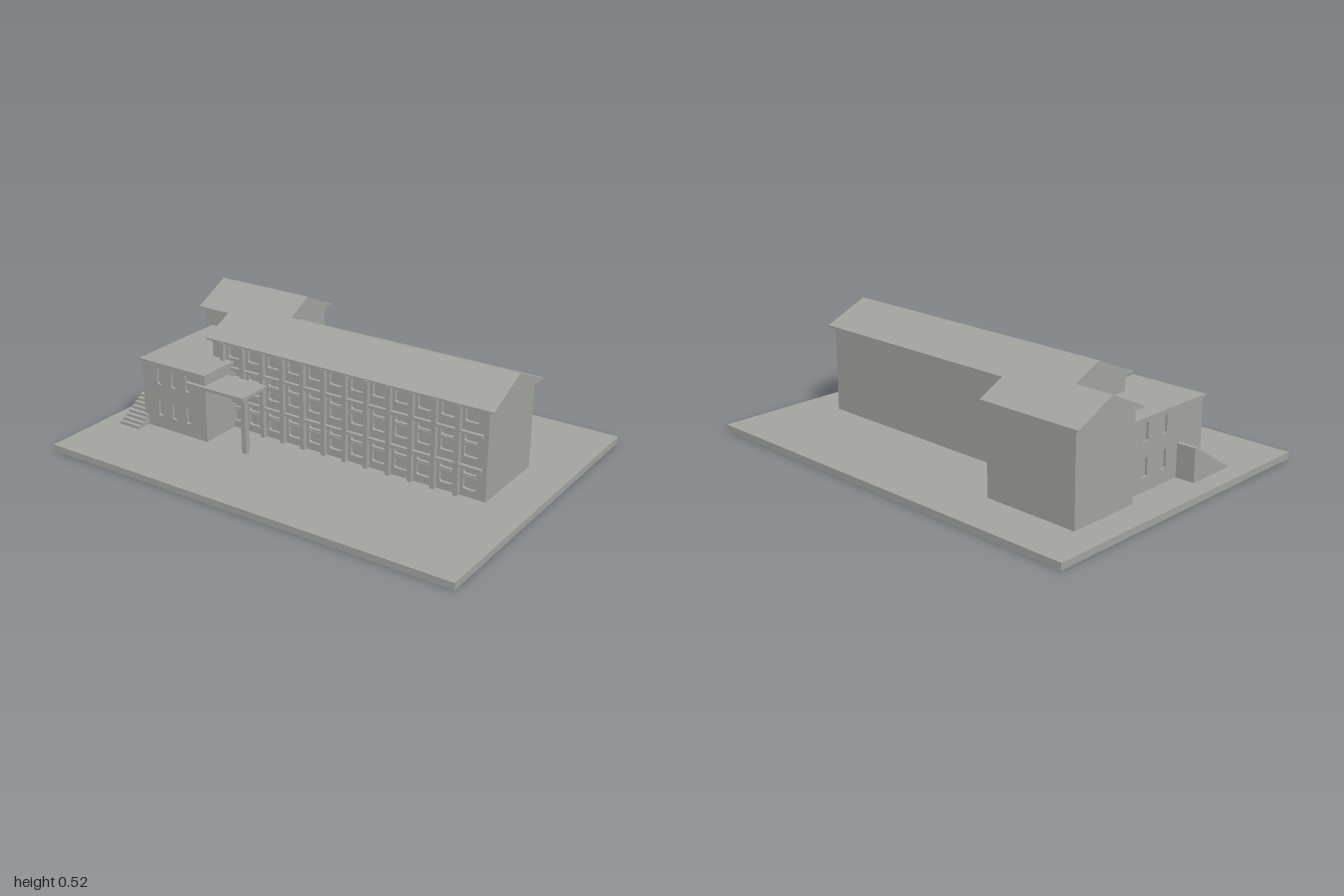
import * as THREE from 'three';

const concrete = new THREE.MeshStandardMaterial({ color: 0xa2a39f });
concrete.name = 'concreteGrey';

export function createModel() {
  const model = new THREE.Group();
  model.name = 'building';

  const add = (name, geo, parent = model) => {
    const m = new THREE.Mesh(geo, concrete);
    m.name = name;
    parent.add(m);
    return m;
  };
  // box given by its limits on each axis
  const box = (name, x0, x1, y0, y1, z0, z1, parent = model) => {
    const m = add(name, new THREE.BoxGeometry(x1 - x0, y1 - y0, z1 - z0), parent);
    m.position.set((x0 + x1) / 2, (y0 + y1) / 2, (z0 + z1) / 2);
    return m;
  };
  // rectangle with cut corners
  const outline = (Type, x0, x1, y0, y1, c = 0) => {
    const p = c
      ? [[x0 + c, y0], [x1 - c, y0], [x1, y0 + c], [x1, y1 - c], [x1 - c, y1], [x0 + c, y1], [x0, y1 - c], [x0, y0 + c]]
      : [[x0, y0], [x1, y0], [x1, y1], [x0, y1]];
    return new Type(p.map(([x, y]) => new THREE.Vector2(x, y)));
  };
  // wall plate with window openings, each [centre, y0, y1, width]
  const wallPlate = (name, x0, x1, y0, y1, depth, openings) => {
    const s = outline(THREE.Shape, x0, x1, y0, y1);
    for (const [c, a, b, w] of openings) s.holes.push(outline(THREE.Path, c - w / 2, c + w / 2, a, b, 0.006));
    return add(name, new THREE.ExtrudeGeometry(s, { depth, bevelEnabled: false }));
  };
  // gable roof: thin eave slab under a triangular prism
  const gableRoof = (name, x0, x1, z0, z1, yTop) => {
    const g = new THREE.Group();
    g.name = name;
    model.add(g);
    box('eaves', x0, x1, 0.426, 0.434, z0, z1, g);
    const s = new THREE.Shape();
    const zm = (z0 + z1) / 2;
    s.moveTo(-z1 + 0.008, 0.434);
    s.lineTo(-z0 - 0.008, 0.434);
    s.lineTo(-zm, yTop);
    s.closePath();
    const prism = add('roofSlopes', new THREE.ExtrudeGeometry(s, { depth: x1 - x0, bevelEnabled: false }), g);
    prism.rotation.y = Math.PI / 2;
    prism.position.x = x0;
  };

  box('groundSlab', -1, 1, 0, 0.03, -0.73, 0.73);

  // main wing
  box('mainBlock', -0.573, 0.805, 0.03, 0.428, -0.245, 0.125);
  gableRoof('mainRoof', -0.595, 0.83, -0.267, 0.157, 0.525);

  // main facade: twelve bays of windows between piers
  const pitch = 0.1077;
  const rows = [[0.36, 0.418], [0.273, 0.303], [0.208, 0.258], [0.13, 0.157], [0.063, 0.114]];
  const openings = [];
  for (let i = 0; i < 12; i++) for (const [a, b] of rows) openings.push([-0.455 + i * pitch, a, b, 0.062]);
  wallPlate('mainFacade', -0.573, 0.805, 0.03, 0.428, 0.015, openings).position.z = 0.125;

  for (let i = 0; i < 12; i++) {
    const c = -0.455 + i * pitch;
    const p = c - pitch / 2;
    box('pier', p - 0.01, p + 0.01, 0.03, 0.428, 0.138, 0.161);
    for (const y of [0.265, 0.119]) box('windowSill', c - 0.033, c + 0.033, y - 0.003, y + 0.003, 0.13, 0.143);
  }
  for (const y of [0.316, 0.167]) box('floorBand', -0.509, 0.785, y - 0.006, y + 0.006, 0.138, 0.157);

  // rear wing
  box('rearBlock', -0.865, -0.42, 0.03, 0.428, -0.505, -0.165);
  gableRoof('rearRoof', -0.89, -0.395, -0.525, -0.145, 0.522);

  // entrance annex with recessed slit windows
  box('annexBlock', -0.81, -0.463, 0.03, 0.337, -0.2, 0.323);
  box('annexRoof', -0.83, -0.458, 0.336, 0.346, -0.2, 0.341);
  const slits = (xs, w) => xs.flatMap((x) => [[x, 0.24, 0.32, w], [x, 0.09, 0.172, w]]);
  wallPlate('annexFront', -0.82, -0.462, 0.03, 0.336, 0.012, slits([-0.723, -0.643, -0.5625], 0.026)).position.z = 0.322;
  const side = wallPlate('annexSide', -0.2, 0.333, 0.03, 0.336, 0.012, slits([-0.04, 0.08], 0.036));
  side.rotation.y = -Math.PI / 2;
  side.position.x = -0.809;

  // entrance canopy on a corner post
  box('canopy', -0.56, -0.245, 0.282, 0.296, 0.182, 0.351);
  box('canopyPost', -0.272, -0.248, 0.03, 0.282, 0.309, 0.333);

  // outside stair, rising towards the back
  const steps = 12, run = 0.235 / steps, rise = 0.148 / steps;
  const stair = new THREE.Shape();
  stair.moveTo(-0.17, 0.03);
  stair.lineTo(-0.17, 0.178);
  for (let i = 0; i < steps; i++) {
    stair.lineTo(-0.17 - (i + 1) * run, 0.178 - i * rise);
    stair.lineTo(-0.17 - (i + 1) * run, 0.178 - (i + 1) * rise);
  }
  const stairMesh = add('stair', new THREE.ExtrudeGeometry(stair, { depth: 0.11, bevelEnabled: false }));
  stairMesh.rotation.y = Math.PI / 2;
  stairMesh.position.x = -0.91;

  return model;
}
